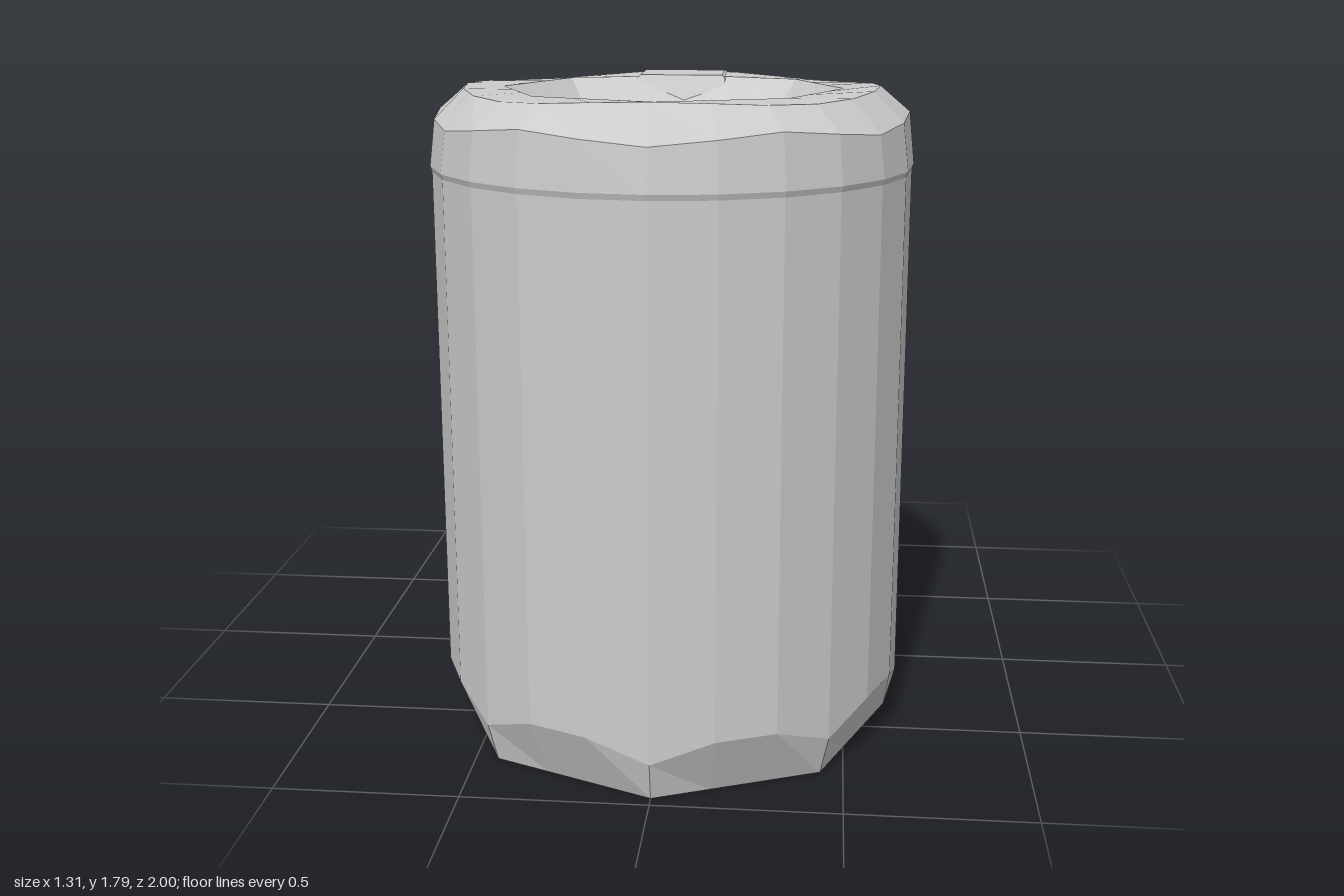
import * as THREE from 'three';

const material = new THREE.MeshStandardMaterial({ color: 0xcccccc, flatShading: true });

// Skin a list of equal-length point rings and close both ends
function loft(name, rings) {
  const n = rings[0].length, pos = [];
  const tri = (...pts) => pts.forEach(p => pos.push(p.x, p.y, p.z));
  for (let k = 0; k < rings.length - 1; k++) {
    for (let i = 0; i < n; i++) {
      const j = (i + 1) % n, a = rings[k], b = rings[k + 1];
      tri(a[i], b[i], b[j]);
      tri(a[i], b[j], a[j]);
    }
  }
  const first = rings[0], last = rings[rings.length - 1];
  for (let i = 1; i < n - 1; i++) {
    tri(first[0], first[i], first[i + 1]);
    tri(last[0], last[i + 1], last[i]);
  }
  const g = new THREE.BufferGeometry();
  g.setAttribute('position', new THREE.Float32BufferAttribute(pos, 3));
  g.computeVertexNormals();
  const mesh = new THREE.Mesh(g, material);
  mesh.name = name;
  return mesh;
}

const SIDES = 24, CENTRE_Z = 0.345;

// Horizontal ring; radius and height are functions of the angle
function ring(radius, height, backScale = 1) {
  return Array.from({ length: SIDES }, (_, i) => {
    const a = i / SIDES * Math.PI * 2;
    const r = radius(a), s = Math.sin(a);
    return new THREE.Vector3(r * Math.cos(a), height(a), CENTRE_Z + r * s * (s < 0 ? backScale : 1));
  });
}

// Polygon outline with the given corner radius, sampled by angle
const polygon = (sides, R) => a => {
  const step = Math.PI * 2 / sides;
  const t = ((a % step) + step) % step - step / 2;
  return R * Math.cos(step / 2) / Math.cos(t);
};

export function createModel() {
  const group = new THREE.Group();
  const c = v => () => v;

  // Solid body with an uneven chamfer around the foot
  group.add(loft('body', [
    ring(polygon(8, 0.62), c(0)),
    ring(c(0.65), a => 0.15 - 0.04 * Math.cos(a * 8)),
    ring(c(0.65), c(1.57)),
  ]));

  // Thick rounded rim sloping in to a shallow floor
  group.add(loft('rim', [
    ring(c(0.65), c(1.57)),
    ring(c(0.655), c(1.585)),
    ring(c(0.64), a => 1.71 + 0.015 * Math.cos(a * 6)),
    ring(c(0.56), a => 1.785 + 0.008 * Math.cos(a * 4)),
    ring(polygon(8, 0.46), c(1.785)),
    ring(polygon(8, 0.38), c(1.7), 0.85),
    ring(polygon(6, 0.33), c(1.575), 0.7),
  ]));

  // Handle section: outer [z, y], inner [z, y], half width, squareness
  const section = (outer, inner, w, k) => {
    const corners = [[1, -k], [1, k], [k, 1], [-k, 1], [-1, k], [-1, -k], [-k, -1], [k, -1]];
    return corners.map(([u, v]) => new THREE.Vector3(
      -0.012 + u * w,
      (outer[1] + inner[1]) / 2 + v * (outer[1] - inner[1]) / 2,
      (outer[0] + inner[0]) / 2 + v * (outer[0] - inner[0]) / 2));
  };

  // Upper arm, beginning inside the rim
  group.add(loft('handleUpperArm', [
    section([-0.05, 1.79], [0.08, 1.56], 0.13, 0.92),
    section([-0.2, 1.795], [-0.2, 1.6], 0.13, 0.92),
    section([-0.63, 1.725], [-0.63, 1.53], 0.087, 0.88),
  ]));

  // Bend of the handle
  group.add(loft('handleBend', [
    section([-0.62, 1.69], [-0.62, 1.53], 0.09, 0.6),
    section([-0.76, 1.67], [-0.66, 1.49], 0.09, 0.6),
    section([-0.9, 1.55], [-0.71, 1.39], 0.09, 0.55),
    section([-0.975, 1.3], [-0.78, 1.26], 0.085, 0.5),
  ]));

  // Straight lower arm, ending inside the body
  group.add(loft('handleLowerArm', [
    section([-1, 1.265], [-0.78, 1.265], 0.085, 0.5),
    section([-0.87, 1.04], [-0.68, 1.17], 0.09, 0.5),
    section([-0.2, 0.42], [-0.2, 0.73], 0.09, 0.5),
  ]));

  return group;
}
